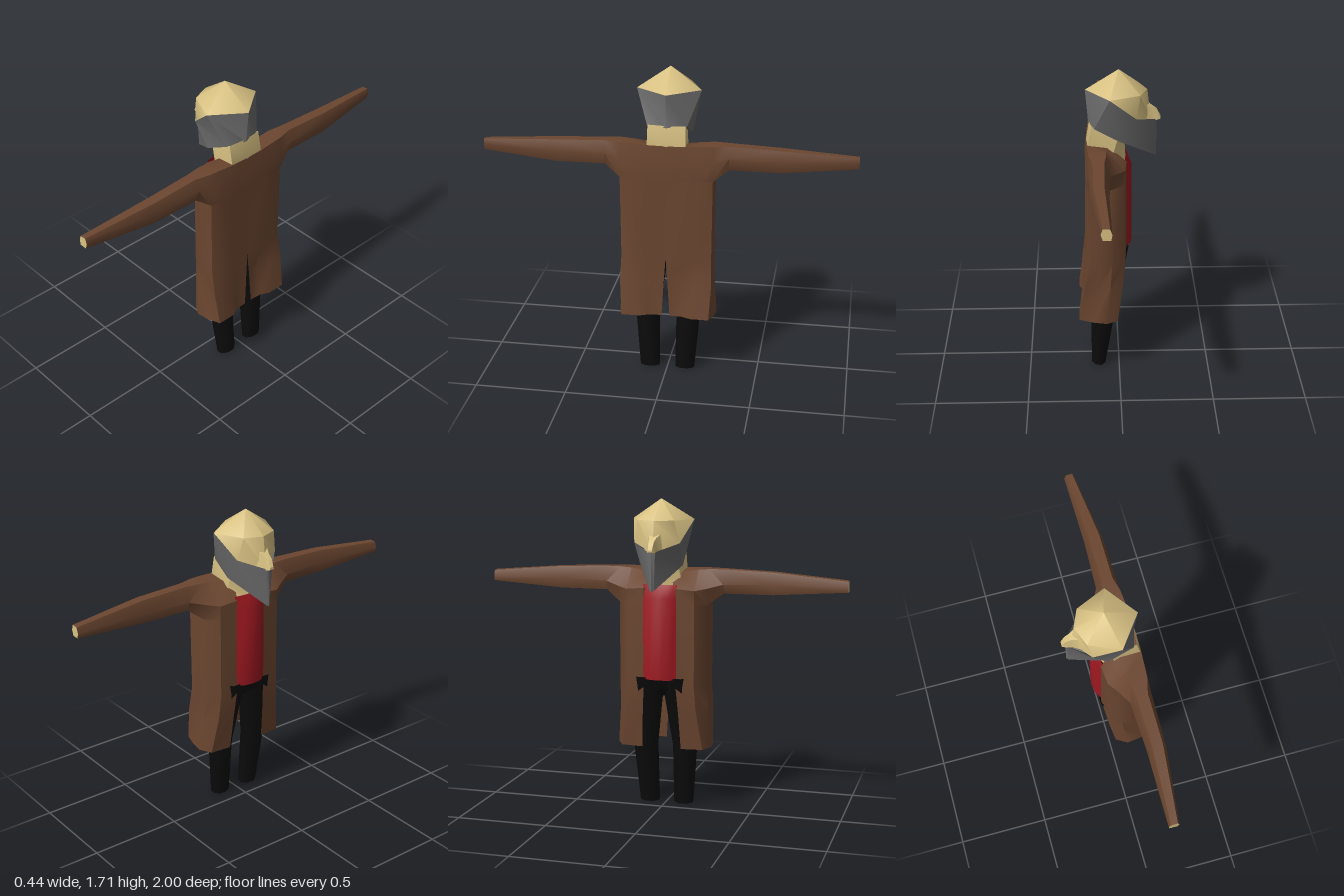
import * as THREE from 'three';
import { toCreasedNormals } from 'three/addons/utils/BufferGeometryUtils.js';

const mat = (color) => new THREE.MeshStandardMaterial({ color, side: THREE.DoubleSide });
const skin = mat(0xd9c283), coatCloth = mat(0x6b4630), hair = mat(0x6c6c6c);
const red = mat(0x9c1820), black = mat(0x0b0b0b);

// Skins a list of equally long point rows; collapsed triangles are dropped.
function loft(name, rows, material, closed = true, crease = 0.75) {
  const pos = [];
  const same = (a, b) => Math.hypot(a[0] - b[0], a[1] - b[1], a[2] - b[2]) < 1e-6;
  const tri = (a, b, c) => {
    if (!same(a, b) && !same(b, c) && !same(c, a)) pos.push(...a, ...b, ...c);
  };
  const n = rows[0].length;
  for (let r = 0; r < rows.length - 1; r++) {
    for (let i = 0; i < (closed ? n : n - 1); i++) {
      const j = (i + 1) % n;
      const a = rows[r][i], b = rows[r][j], c = rows[r + 1][j], d = rows[r + 1][i];
      tri(a, b, d);
      tri(b, c, d);
    }
  }
  const g = new THREE.BufferGeometry();
  g.setAttribute('position', new THREE.Float32BufferAttribute(pos, 3));
  const mesh = new THREE.Mesh(toCreasedNormals(g, crease), material);
  mesh.name = name;
  return mesh;
}

// Completes a half ring (back centre to front centre, +z side) by mirroring.
const sym = (half) => [...half, ...half.slice(1, -1).reverse().map(([x, y, z]) => [x, y, -z])];

// Closes a ring towards its centre.
function cap(name, ring, material) {
  const c = [0, 1, 2].map((k) => ring.reduce((s, p) => s + p[k], 0) / ring.length);
  return loft(name, [ring, ring.map(() => c)], material);
}

function makeHead() {
  const head = new THREE.Group();
  head.name = 'head';

  // Crown, brow and face
  const brow = [[.175, 1.6, 0], [.05, 1.6, .17], [-.11, 1.6, .1], [-.15, 1.6, 0]];
  const face = [[.17, 1.58, 0], [.05, 1.6, .17], [-.09, 1.48, .125], [-.17, 1.43, 0]];
  head.add(loft('skull', [brow.map(() => [0, 1.71, 0]), brow, face].map(sym), skin, true, 0.9));

  // Hair round the back running into a pointed beard, with its underside
  head.add(loft('hairAndBeard', [
    [[.176, 1.6, 0], [.05, 1.6, .171], [-.09, 1.48, .126], [-.195, 1.44, .02], [-.2, 1.44, 0]],
    [[.16, 1.42, 0], [.13, 1.42, .105], [0, 1.355, .12], [-.19, 1.235, .012], [-.2, 1.23, 0]],
    [[.15, 1.42, 0], [.11, 1.42, .08], [0, 1.37, .06], [-.03, 1.36, .01], [-.04, 1.355, 0]],
  ].map(sym), hair));

  // Nose: [x, low y, high y, half width]
  const nose = [[-.12, 1.44, 1.54, .06], [-.17, 1.43, 1.51, .026], [-.2, 1.435, 1.49, .021], [-.22, 1.44, 1.452, .014]]
    .map(([x, lo, hi, w]) => [[x, lo, w], [x, lo, -w], [x, hi, -w * .7], [x, hi, w * .7]]);
  head.add(loft('nose', nose, skin, true, 1), cap('noseTip', nose[3], skin));

  // Neck running down inside the collar
  head.add(loft('neck', [
    [[.155, 1.43, 0], [.145, 1.43, .1], [0, 1.38, .09], [-.03, 1.36, 0]],
    [[.173, 1.325, 0], [.165, 1.325, .102], [.03, 1.28, .1], [-.035, 1.24, 0]],
    [[.15, 1.2, 0], [.15, 1.2, .08], [0, 1.18, .09], [-.05, 1.18, 0]],
  ].map(sym), skin));
  return head;
}

// Everything that exists once on each side, modelled on +z
function makeSide(name) {
  const side = new THREE.Group();
  side.name = name;

  // Shoulder and sleeve: z, then the x, y outline
  const sleeve = [
    [0, [.1, 1.14], [.1, 1.2], [.1, 1.32], [.172, 1.325], [.18, 1.24], [.18, 1.14]],
    [.09, [-.04, 1.14], [-.04, 1.23], [.06, 1.31], [.172, 1.325], [.18, 1.24], [.18, 1.14]],
    [.19, [-.03, 1.14], [-.03, 1.22], [.07, 1.325], [.165, 1.33], [.178, 1.24], [.178, 1.14]],
    [.25, [.04, 1.14], [.01, 1.23], [.07, 1.33], [.16, 1.33], [.172, 1.24], [.165, 1.14]],
    [.33, [.07, 1.2], [.05, 1.25], [.08, 1.33], [.14, 1.33], [.165, 1.27], [.14, 1.2]],
    [.6, [.075, 1.2], [.06, 1.255], [.085, 1.32], [.14, 1.32], [.16, 1.26], [.14, 1.2]],
    [1, [.06, 1.23], [.055, 1.258], [.065, 1.287], [.1, 1.29], [.11, 1.26], [.1, 1.23]],
  ].map(([z, ...pts]) => pts.map(([x, y]) => [x, y, z]));
  side.add(loft('sleeve', sleeve, coatCloth), cap('hand', sleeve[6], skin));

  // Coat half, from the back slit round to the open front; folds towards the hem
  side.add(loft('coatHalf', [
    [1.14, [.18, 0], [.18, .12], [.178, .19], [.165, .248], [.1, .25], [.04, .25], [-.03, .19], [-.04, .09]],
    [.69, [.18, 0], [.185, .11], [.185, .17], [.165, .245], [.1, .25], [.04, .248], [-.03, .19], [-.04, .09]],
    [.55, [.185, .01], [.175, .08], [.2, .16], [.19, .25], [.12, .24], [.05, .25], [-.02, .2], [-.025, .1]],
    [.345, [.19, .022], [.195, .09], [.22, .14], [.22, .24], [.14, .262], [.07, .268], [.01, .23], [0, .11]],
  ].map(([y, ...pts]) => pts.map(([x, z]) => [x, y + (y < .4 ? (x - .1) * .08 : 0), z])), coatCloth, false));

  // Trouser leg: y, centre x and z, half depth and half width
  const leg = [[.74, .035, .085, .085, .085], [.34, .087, .113, .062, .063], [.005, .116, .098, .038, .052]]
    .map(([y, cx, cz, rx, rz]) => Array.from({ length: 8 }, (_, i) => {
      const a = (i + .5) * Math.PI / 4, k = 1 / Math.cos(Math.PI / 8);
      return [cx + Math.cos(a) * rx * k, y + (y < .1 ? Math.cos(a) * .005 : 0), cz + Math.sin(a) * rz * k];
    }));
  side.add(loft('trouserLeg', leg, black, true, 1), cap('foot', leg[2], skin));
  return side;
}

export function createModel() {
  const model = new THREE.Group();
  model.name = 'beardedManInCoat';
  model.add(makeHead());

  const near = makeSide('plusZSide'), far = makeSide('minusZSide');
  far.scale.z = -1;
  model.add(near, far);

  // Red waistcoat in the coat opening: y, edge x, bulge x, centre x
  model.add(loft('waistcoat', [
    [1.25, -.03, -.036, -.038], [1.18, -.038, -.064, -.07], [.73, -.038, -.064, -.07], [.72, .02, .02, .02],
  ].map(([y, e, b, c]) => [[e, y, -.095], [b, y, -.05], [c, y, 0], [b, y, .05], [e, y, .095]]), red, false));

  // Trouser seat under the waistcoat
  model.add(loft('trouserSeat', [
    [[.15, .74, 0], [.1, .74, .16], [-.03, .74, .09], [-.06, .74, 0]],
    [[.13, .66, 0], [.1, .66, .14], [-.02, .68, .09], [-.035, .67, 0]],
    [[.06, .63, 0], [.06, .63, .02], [.02, .63, .02], [.02, .63, 0]],
  ].map(sym), black));
  return model;
}
